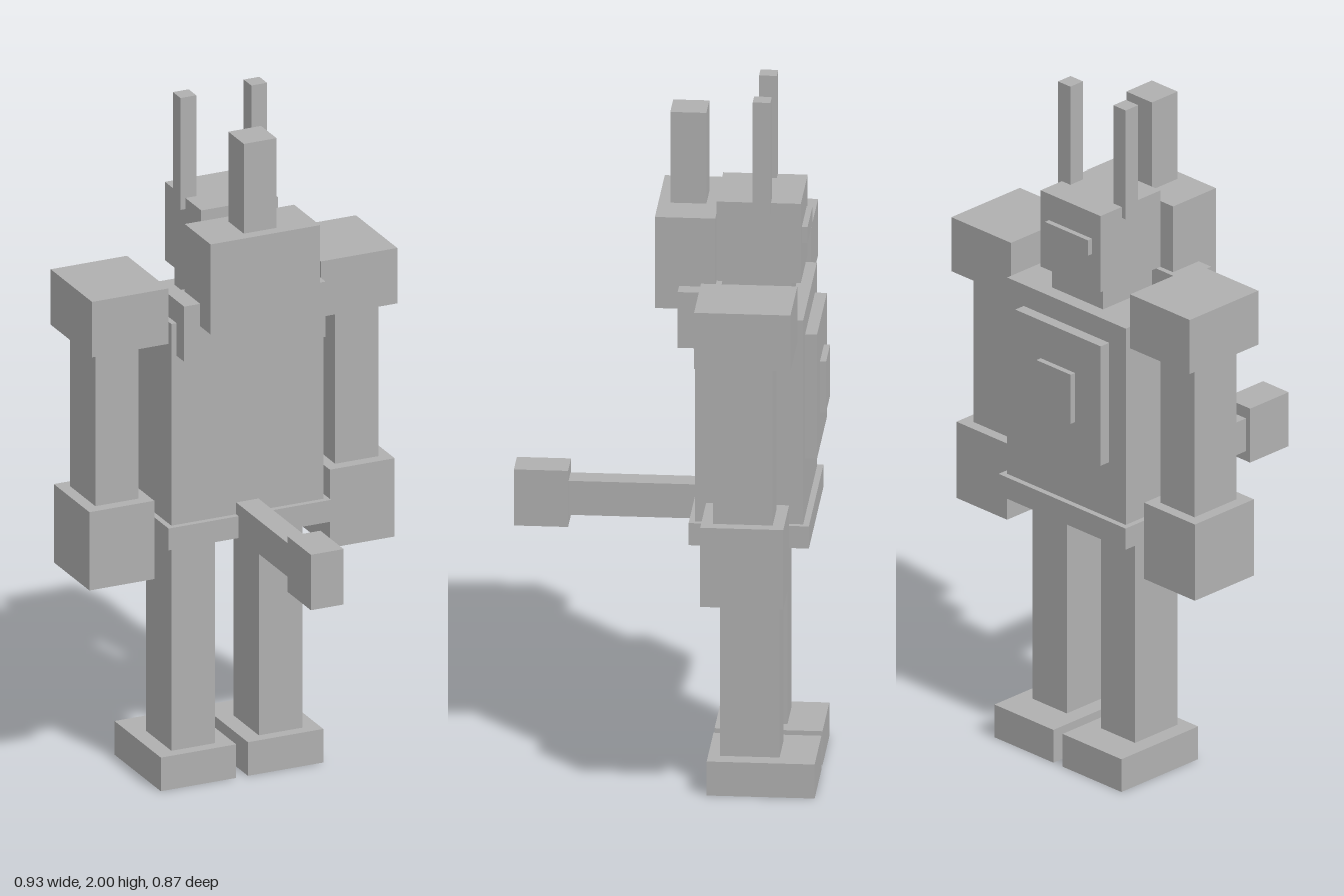
import * as THREE from 'three';

const grey = new THREE.MeshStandardMaterial({ color: 0xb0b0b0 });
grey.name = 'grey';

// Box given by its limits on each axis
function block(name, [x0, x1], [y0, y1], [z0, z1]) {
  const mesh = new THREE.Mesh(new THREE.BoxGeometry(x1 - x0, y1 - y0, z1 - z0), grey);
  mesh.position.set((x0 + x1) / 2, (y0 + y1) / 2, (z0 + z1) / 2);
  mesh.name = name;
  return mesh;
}

// Box centred on x = 0
const centred = (name, halfWidth, y, z) => block(name, [-halfWidth, halfWidth], y, z);

export function createModel() {
  const robot = new THREE.Group();
  robot.name = 'robot';

  // Torso, with a layered plate on the chest (the chest looks towards -z)
  robot.add(
    centred('waist', 0.248, [0.735, 0.8], [-0.4, -0.067]),
    centred('torso', 0.232, [0.8, 1.4], [-0.383, -0.083]),
    centred('chestPlate', 0.167, [0.97, 1.335], [-0.416, -0.383]),
    centred('chestPanel', 0.067, [1.07, 1.22], [-0.433, -0.416]),
  );

  // Head
  robot.add(
    centred('neck', 0.1, [1.4, 1.467], [-0.34, -0.15]),
    centred('head', 0.117, [1.467, 1.7], [-0.367, -0.133]),
    centred('visor', 0.084, [1.573, 1.62], [-0.383, -0.367]),
  );

  // Pack behind the shoulders
  robot.add(
    centred('packCollar', 0.216, [1.303, 1.467], [-0.15, -0.034]),
    centred('pack', 0.167, [1.4, 1.668], [-0.134, 0.033]),
    centred('packStack', 0.05, [1.668, 1.935], [-0.1, 0]),
  );

  // Tail
  robot.add(
    centred('tail', 0.034, [0.735, 0.835], [-0.083, 0.283]),
    centred('tailTip', 0.05, [0.705, 0.87], [0.283, 0.433]),
  );

  // Mirrored limbs and antennas: inner and outer x, then y and z limits
  const pairs = [
    ['Foot', [0.018, 0.248], [0, 0.1], [-0.416, -0.117]],
    ['Leg', [0.067, 0.2], [0.1, 0.735], [-0.315, -0.15]],
    ['Shoulder', [0.233, 0.466], [1.335, 1.5], [-0.367, -0.1]],
    ['Arm', [0.3, 0.432], [0.868, 1.335], [-0.315, -0.15]],
    ['Hand', [0.268, 0.466], [0.635, 0.868], [-0.347, -0.117]],
    ['Antenna', [0.084, 0.132], [1.667, 2], [-0.284, -0.235]],
  ];
  for (const [name, [inner, outer], y, z] of pairs) {
    robot.add(block('left' + name, [inner, outer], y, z));
    robot.add(block('right' + name, [-outer, -inner], y, z));
  }
  return robot;
}
